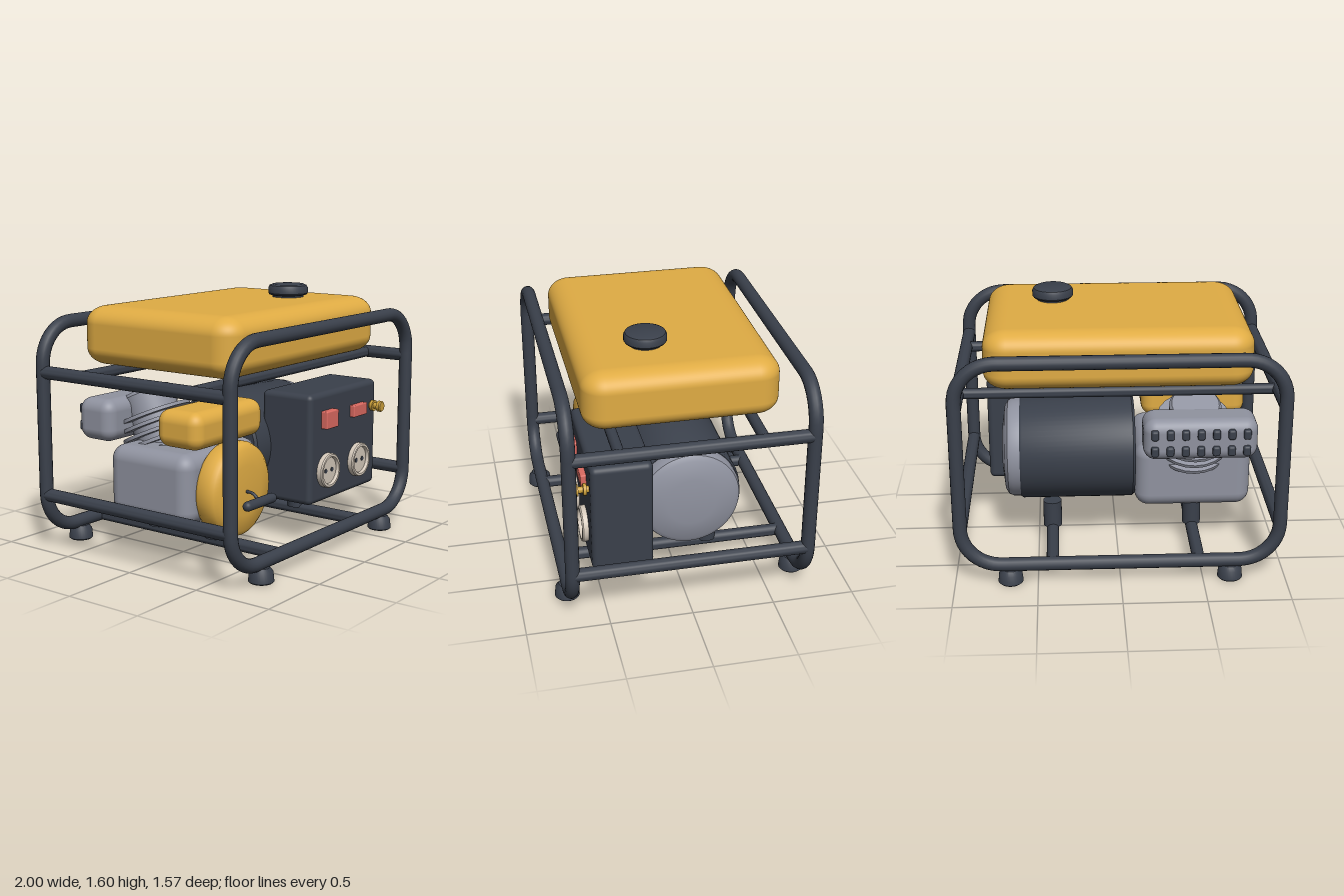
import * as THREE from 'three';
import { toCreasedNormals } from 'three/addons/utils/BufferGeometryUtils.js';
import { RoundedBoxGeometry } from 'three/addons/geometries/RoundedBoxGeometry.js';

const paint = (name, color) => {
  const m = new THREE.MeshStandardMaterial({ color });
  m.name = name;
  return m;
};

export function createModel() {
  const model = new THREE.Group();
  model.name = 'portableGenerator';
  const yellow = paint('yellow', 0xe0ac44);
  const dark = paint('charcoal', 0x3a404b);
  const grey = paint('metalGrey', 0x9093a0);
  const red = paint('switchRed', 0xdb6a61);
  const beige = paint('socketBeige', 0xd5c9bb);
  const brass = paint('brass', 0xcb9f3a);

  const add = (name, geo, mat, x = 0, y = 0, z = 0, parent = model) => {
    const mesh = new THREE.Mesh(geo, mat);
    mesh.name = name;
    mesh.position.set(x, y, z);
    parent.add(mesh);
    return mesh;
  };
  const box = (w, h, d, r, seg = 5) => new RoundedBoxGeometry(w, h, d, seg, r);
  // Turned part: profile of [radius, height], laid along the chosen axis
  const turned = (profile, axis = 'y', sides = 48) => {
    const g = new THREE.LatheGeometry(profile.map(([r, h]) => new THREE.Vector2(r, h)), sides);
    if (axis === 'x') g.rotateZ(-Math.PI / 2);
    if (axis === 'z') g.rotateX(Math.PI / 2);
    return toCreasedNormals(g, 0.6);
  };
  const rod = (r, len, axis) => turned([[0, -len / 2], [r, -len / 2], [r, len / 2], [0, len / 2]], axis, 24);

  // Tubular frame: front and back hoops
  const R = 0.24, X = 0.958, Y0 = 0.117, Y1 = 1.403;
  const hoop = new THREE.Shape();
  hoop.absarc(X - R, Y1 - R, R, 0, Math.PI / 2);
  hoop.absarc(-X + R, Y1 - R, R, Math.PI / 2, Math.PI);
  hoop.absarc(-X + R, Y0 + R, R, Math.PI, Math.PI * 1.5);
  hoop.absarc(X - R, Y0 + R, R, Math.PI * 1.5, Math.PI * 2);
  hoop.closePath();
  const points = hoop.getSpacedPoints(100).slice(0, -1).map((p) => new THREE.Vector3(p.x, p.y, 0));
  const hoopGeo = new THREE.TubeGeometry(new THREE.CatmullRomCurve3(points, true), 180, 0.042, 16, true);
  const footGeo = turned([[0, 0], [0.068, 0], [0.076, 0.008], [0.07, 0.065], [0.05, 0.09], [0, 0.09]], 'y', 32);
  for (const s of [-1, 1]) {
    add('frameHoop', hoopGeo, dark, 0, 0, s * 0.71);
    add('upperSideRail', rod(0.04, 1.42, 'z'), dark, s * X, 1.115, 0);
    add('lowerSideRail', rod(0.04, 1.42, 'z'), dark, s * X, 0.35, 0);
    add('tankRail', rod(0.033, 1.9, 'x'), dark, 0, 1.113, s * 0.42);
    for (const t of [-1, 1]) add('foot', footGeo, dark, s * 0.665, 0, t * 0.71);
  }
  // Floor rails with the mounting posts
  for (const x of [-0.475, 0.41]) {
    add('floorRail', rod(0.038, 1.42, 'z'), dark, x, Y0, 0);
    for (const z of [-0.22, 0.225]) add('mountPost', rod(0.058, 0.17, 'y'), dark, x, 0.215, z);
  }

  // Fuel tank and cap
  const tank = box(1.6, 0.48, 1.16, 0.14, 8);
  tank.scale(1, 0.75, 1);
  add('fuelTank', tank, yellow, 0, 1.335, 0.012);
  add('fuelCap', turned([[0.1, 1.49], [0.1, 1.525], [0.12, 1.53], [0.127, 1.54], [0.127, 1.572],
    [0.118, 1.588], [0.1, 1.596], [0, 1.596]]), dark, 0.385, 0, 0.16);

  // Alternator barrel and domed end cover
  add('alternatorBody', turned([[0, -0.11], [0.31, -0.11], [0.325, -0.095], [0.325, 0.59],
    [0.315, 0.605], [0, 0.605]], 'x', 64), dark, 0, 0.6, -0.052);
  add('alternatorEndCover', turned([[0.312, 0.6], [0.312, 0.65], [0.3, 0.68], [0.27, 0.7],
    [0.15, 0.717], [0, 0.723]], 'x', 64), grey, 0, 0.6, -0.052);

  // Engine crankcase
  add('crankcase', box(0.725, 0.43, 0.62, 0.09), grey, -0.4725, 0.485, -0.005);

  // Leaning cylinder with cooling fins
  const cylinder = new THREE.Group();
  cylinder.name = 'engineCylinder';
  cylinder.position.set(-0.475, 0.978, -0.31);
  cylinder.rotation.x = -0.43;
  model.add(cylinder);
  add('cylinderHead', turned([[0, -0.5], [0.16, -0.5], [0.16, -0.02], [0.145, 0], [0, 0]]), grey, 0, 0, 0, cylinder);
  for (let i = 0; i < 5; i++) {
    add('coolingFin', rod(0.235, 0.022, 'y'), grey, 0, -0.155 - i * 0.055, 0, cylinder);
  }

  // Muffler with two rows of vent slots
  add('muffler', box(0.69, 0.26, 0.27, 0.075), grey, -0.49, 0.83, -0.425);
  const ventGeo = box(0.045, 0.062, 0.05, 0.014, 3);
  for (let i = 0; i < 7; i++) {
    for (const y of [0.775, 0.88]) add('mufflerVent', ventGeo, dark, -0.487 + (i - 3) * 0.092, y, -0.56);
  }

  // Air filter housing
  add('airFilter', box(0.665, 0.225, 0.32, 0.075), yellow, -0.5025, 0.848, 0.22);

  // Recoil starter cover, cord and handle
  add('recoilCover', turned([[0, 0.28], [0.25, 0.28], [0.275, 0.3], [0.288, 0.325], [0.288, 0.4],
    [0.275, 0.43], [0.245, 0.452], [0.15, 0.463], [0, 0.468]], 'z', 64), yellow, -0.475, 0.46, 0);
  const cord = new THREE.CatmullRomCurve3([
    new THREE.Vector3(-0.475, 0.455, 0.46),
    new THREE.Vector3(-0.475, 0.45, 0.51),
    new THREE.Vector3(-0.475, 0.41, 0.56),
  ]);
  add('starterCord', new THREE.TubeGeometry(cord, 12, 0.01, 8), dark);
  const handle = new THREE.CapsuleGeometry(0.03, 0.24, 8, 20);
  handle.rotateZ(Math.PI / 2);
  add('starterHandle', handle, dark, -0.472, 0.405, 0.56);

  // Control panel box
  add('controlPanel', box(0.78, 0.7, 0.37, 0.035), dark, 0.435, 0.61, 0.385);
  add('mainSwitch', box(0.135, 0.112, 0.07, 0.008, 2), red, 0.232, 0.79, 0.58);
  add('breakerSwitch', box(0.16, 0.078, 0.05, 0.008, 2), red, 0.58, 0.793, 0.58);

  // Brass earth terminal
  add('earthTerminal', turned([[0.02, 0.56], [0.02, 0.585], [0.036, 0.585], [0.036, 0.605], [0.02, 0.605],
    [0.02, 0.635], [0.036, 0.635], [0.036, 0.655], [0.03, 0.662], [0, 0.662]], 'z', 20), brass, 0.75, 0.795, 0);

  // Power sockets: raised rim, recessed face, two pin holes
  const socketGeo = turned([[0.11, 0.56], [0.11, 0.6], [0.104, 0.608], [0.09, 0.608], [0.085, 0.6],
    [0.085, 0.588], [0, 0.588]], 'z');
  for (const x of [0.23, 0.595]) {
    add('socket', socketGeo, beige, x, 0.46, 0);
    for (const s of [-1, 1]) add('pinHole', rod(0.014, 0.006, 'z'), dark, x + s * 0.036, 0.46, 0.589);
  }
  return model;
}
